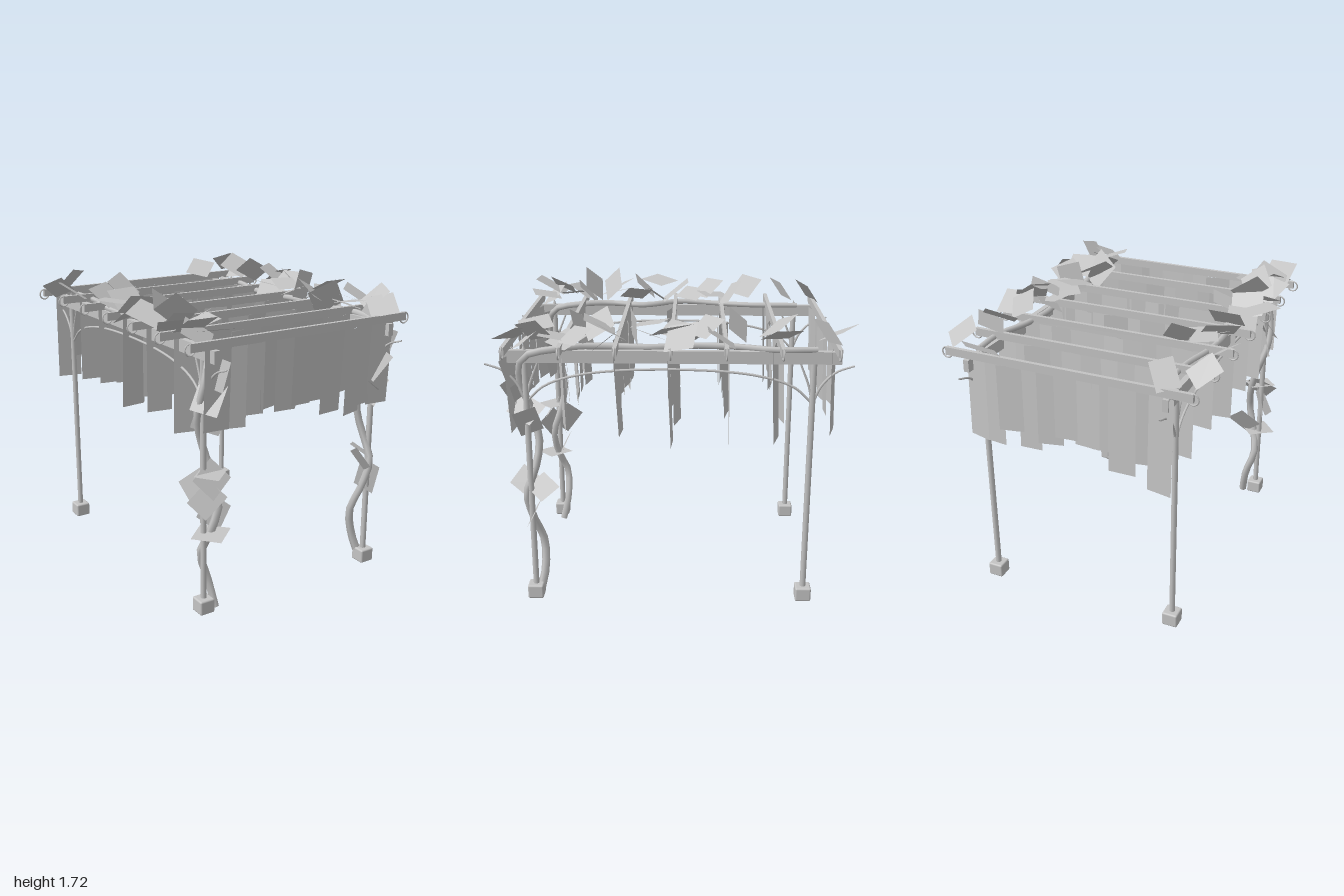
import * as THREE from 'three';
import { RoundedBoxGeometry } from 'three/addons/geometries/RoundedBoxGeometry.js';

const stone = new THREE.MeshStandardMaterial({ color: 0xc4c4c4, side: THREE.DoubleSide });
stone.name = 'light grey';

const CX = 0.015, CZ = 0.015; // centre of the frame
const POST_X = 0.569, POST_Z = 0.77;

// small seeded random in [-1, 1]
let seed = 29;
function rnd() {
  seed = (seed * 16807) % 2147483647;
  return (seed / 2147483647) * 2 - 1;
}

function add(parent, name, geometry, x = 0, y = 0, z = 0) {
  const mesh = new THREE.Mesh(geometry, stone);
  mesh.name = name;
  mesh.position.set(x, y, z);
  parent.add(mesh);
  return mesh;
}

function curveOf(points) {
  return new THREE.CatmullRomCurve3(points.map(p => new THREE.Vector3(...p)));
}

// tube that narrows towards its far end
function taperedTube(points, r0, r1, segments = 40, sides = 6) {
  const curve = curveOf(points);
  const g = new THREE.TubeGeometry(curve, segments, r0, sides);
  const p = g.attributes.position, c = new THREE.Vector3(), v = new THREE.Vector3();
  for (let i = 0; i < p.count; i++) {
    const t = Math.floor(i / (sides + 1)) / segments;
    curve.getPointAt(t, c);
    v.fromBufferAttribute(p, i).sub(c).multiplyScalar(1 + (r1 / r0 - 1) * t).add(c);
    p.setXYZ(i, v.x, v.y, v.z);
  }
  return g;
}

export function createModel() {
  const model = new THREE.Group();
  model.name = 'pergola';

  // posts, feet, side beams and curved brackets
  const frame = new THREE.Group();
  frame.name = 'frame';
  model.add(frame);
  for (const sx of [-1, 1]) {
    const x = CX + sx * POST_X;
    add(frame, 'sideBeam', new THREE.BoxGeometry(0.032, 0.068, 1.815), x, 1.455, 0.007);
    for (const sz of [-1, 1]) {
      const z = CZ + sz * POST_Z;
      add(frame, 'post', new THREE.CylinderGeometry(0.017, 0.017, 1.36, 8), x, 0.75, z);
      add(frame, 'foot', new RoundedBoxGeometry(0.09, 0.082, 0.09, 2, 0.01), x, 0.054, z);
      add(frame, 'finial', new THREE.ConeGeometry(0.016, 0.04, 8), x, 1.5, z);
      add(frame, 'outerBracket', taperedTube([
        [x, 1.2, z], [x, 1.3, z + sz * 0.045], [x, 1.375, z + sz * 0.12], [x, 1.41, z + sz * 0.215],
      ], 0.009, 0.005, 14));
      add(frame, 'innerBracket', taperedTube([
        [x, 1.2, z], [x, 1.29, z - sz * 0.02], [x, 1.42, z - sz * 0.07],
      ], 0.009, 0.006, 10));
    }
    const arch = [[-1, 1.2], [-0.87, 1.29], [-0.6, 1.355], [0, 1.385], [0.6, 1.355], [0.87, 1.29], [1, 1.2]];
    add(frame, 'arch', new THREE.TubeGeometry(
      curveOf(arch.map(([t, y]) => [x, y, CZ + t * POST_Z])), 40, 0.007, 6));
  }

  // rafters with a thin ring at each end and a row of overlapping hanging strips
  const roof = new THREE.Group();
  roof.name = 'roof';
  model.add(roof);
  for (let row = 0; row < 7; row++) {
    const z = 0.875 - row * 0.291;
    add(roof, 'rafter', new THREE.BoxGeometry(1.41, 0.045, 0.022), CX, 1.512, z);
    for (const sx of [-1, 1])
      add(roof, 'rafterRing', new THREE.TorusGeometry(0.03, 0.0045, 6, 18), CX + sx * 0.7, 1.503, z);
    for (let i = 0; i < 11; i++) {
      const outer = Math.abs(i - 5) / 5;
      const length = 0.395 + 0.1 * outer * outer + rnd() * 0.06;
      const geometry = new THREE.PlaneGeometry(0.138 + rnd() * 0.015, length);
      geometry.translate(0, -length / 2, 0);
      geometry.rotateX(0.035 + rnd() * 0.02);
      const strip = add(roof, 'hangingStrip', geometry,
        CX + (i - 5) * 0.107 + rnd() * 0.01, 1.492, z + 0.006 + rnd() * 0.024);
      strip.rotation.y = rnd() * 0.3;
    }
  }

  // climbing vines, up the front posts and back along the beams
  const vines = new THREE.Group();
  vines.name = 'vines';
  model.add(vines);
  add(vines, 'rightVine', taperedTube([
    [-0.47, 0.01, 0.77], [-0.495, 0.17, 0.735], [-0.545, 0.34, 0.74], [-0.515, 0.47, 0.79],
    [-0.475, 0.64, 0.81], [-0.49, 0.8, 0.76], [-0.53, 0.95, 0.735], [-0.58, 1.12, 0.77],
    [-0.57, 1.3, 0.82], [-0.53, 1.45, 0.79], [-0.51, 1.5, 0.6], [-0.54, 1.5, 0.4],
    [-0.49, 1.5, 0.2], [-0.56, 1.51, -0.03], [-0.55, 1.5, -0.25], [-0.5, 1.5, -0.5], [-0.5, 1.5, -0.77],
  ], 0.024, 0.016, 44));
  add(vines, 'leftVine', taperedTube([
    [0.58, 0.01, 0.77], [0.535, 0.17, 0.735], [0.505, 0.34, 0.74], [0.54, 0.5, 0.79],
    [0.578, 0.66, 0.81], [0.565, 0.8, 0.76], [0.53, 0.95, 0.735], [0.51, 1.12, 0.77],
    [0.55, 1.3, 0.82], [0.6, 1.45, 0.79], [0.6, 1.5, 0.6], [0.54, 1.5, 0.4],
    [0.56, 1.5, 0.1], [0.52, 1.5, -0.1], [0.54, 1.5, -0.35], [0.6, 1.5, -0.55], [0.59, 1.5, -0.77],
  ], 0.024, 0.016, 44));

  // flat square leaves
  const leaves = new THREE.Group();
  leaves.name = 'leaves';
  model.add(leaves);
  function leaf(x, y, z, size, rx, ry, rz) {
    const g = new THREE.PlaneGeometry(size, size * (0.85 + 0.1 * rnd()));
    g.rotateX(-Math.PI / 2);
    add(leaves, 'leaf', g, x, y, z).rotation.set(rx, ry, rz);
  }

  // along the beams: x, z
  const beamLeaves = [
    [-0.67, -0.68], [-0.52, -0.83], [-0.68, -0.45], [-0.4, -0.34], [-0.5, -0.24], [-0.58, -0.2],
    [-0.55, 0], [-0.7, 0.11], [-0.6, 0.2], [-0.47, 0.25], [-0.63, 0.38], [-0.55, 0.4], [-0.55, 0.52],
    [-0.63, 0.6], [-0.58, 0.72], [-0.48, 0.65], [-0.61, 0.8], [-0.5, 0.82],
    [0.49, -0.89], [0.65, -0.81], [0.62, -0.58], [0.57, -0.56], [0.55, -0.35], [0.68, -0.26],
    [0.59, -0.18], [0.67, -0.05], [0.6, 0], [0.48, -0.05], [0.46, 0.12], [0.53, 0.2], [0.62, 0.32],
    [0.45, 0.4], [0.48, 0.48], [0.56, 0.38], [0.68, 0.5], [0.59, 0.6], [0.48, 0.73], [0.63, 0.72], [0.59, 0.83],
  ];
  for (const [x, z] of beamLeaves)
    leaf(x, 1.595 + rnd() * 0.03, z, 0.18 + rnd() * 0.02, rnd() * 0.85, rnd() * 3, rnd() * 0.85);
  // a few lower ones close to the vines
  for (const sx of [-1, 1])
    for (let i = 0; i < 5; i++)
      leaf(sx * 0.56 + rnd() * 0.05, 1.56 + rnd() * 0.02, 0.78 - i * 0.22, 0.17, rnd() * 0.8, rnd() * 3, rnd() * 0.7);

  // on the front posts: x, y, z, then tilt, spin and roll
  const postLeaves = [
    [-0.53, 0.79, 0.83, 1.0, 0.6, 0], [-0.53, 0.82, 0.82, 0.05, 0.7, 0], [-0.56, 0.68, 0.83, 0.8, 0.5, 0.9],
    [-0.46, 0.56, 0.74, 1.1, 0.8, 0], [-0.53, 0.48, 0.82, 0, 0.7, 0.05], [-0.56, 0.72, 0.74, 0.9, 0.2, 1.1],
    [-0.52, 1.12, 0.79, 0.5, 0.9, 1.1], [-0.55, 1.23, 0.83, 0.2, 0.6, 0.9], [-0.53, 1.36, 0.85, 0.2, 0.4, 1.3],
    [0.495, 0.69, 0.82, 0.9, 0.3, -1.1], [0.585, 0.7, 0.72, 0.6, 0.5, -0.6], [0.6, 0.55, 0.77, 1.1, 0.9, 0],
    [0.53, 1.27, 0.84, 0.6, 0.4, 0.9], [0.53, 1.14, 0.8, 0.8, 0.6, -0.9], [0.6, 1.09, 0.78, 0.3, 0.2, 1.1],
    [0.57, 1.38, 0.85, 0.5, 0.8, 1.2],
  ];
  for (const [x, y, z, rx, ry, rz] of postLeaves) leaf(x, y, z, 0.17 + rnd() * 0.01, rx, ry, rz);

  return model;
}
